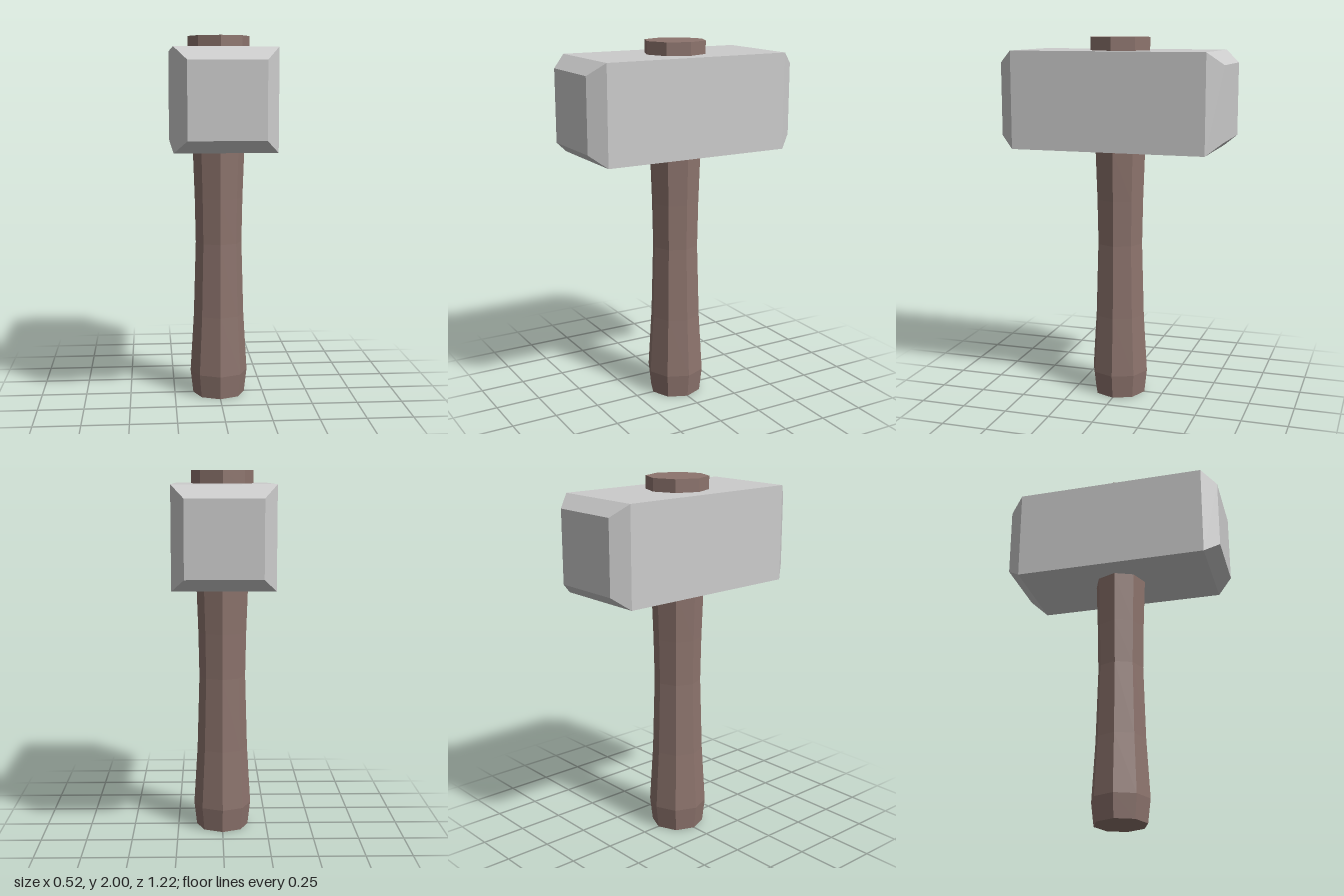
import * as THREE from 'three';

export function createModel() {
  const model = new THREE.Group();
  const add = (name, geometry, color) => {
    const material = new THREE.MeshStandardMaterial({ color, flatShading: true });
    const mesh = new THREE.Mesh(geometry, material);
    mesh.name = name;
    model.add(mesh);
    return mesh;
  };

  // Eight-sided wooden handle, waisted in the middle and passing through the head
  const profile = [
    [0, 0], [0.145, 0], [0.16, 0.13], [0.14, 0.46], [0.128, 0.87],
    [0.133, 1.12], [0.143, 1.4], [0.168, 1.9], [0.168, 2], [0, 2],
  ].map(([r, y]) => new THREE.Vector2(r, y));
  add('handle', new THREE.LatheGeometry(profile, 8), 0x8d746d);

  // Block head: the two end faces are shrunk to give bevelled striking faces
  const headGeometry = new THREE.BoxGeometry(0.524, 0.524, 1.224, 1, 1, 3);
  const p = headGeometry.attributes.position;
  for (let i = 0; i < p.count; i++) {
    const z = p.getZ(i);
    if (Math.abs(z) > 0.5) p.setXYZ(i, p.getX(i) * 0.75, p.getY(i) * 0.75, z);
    else p.setZ(i, Math.sign(z) * 0.53);
  }
  headGeometry.computeVertexNormals();
  add('head', headGeometry, 0xcccccc).position.y = 1.668;

  return model;
}
